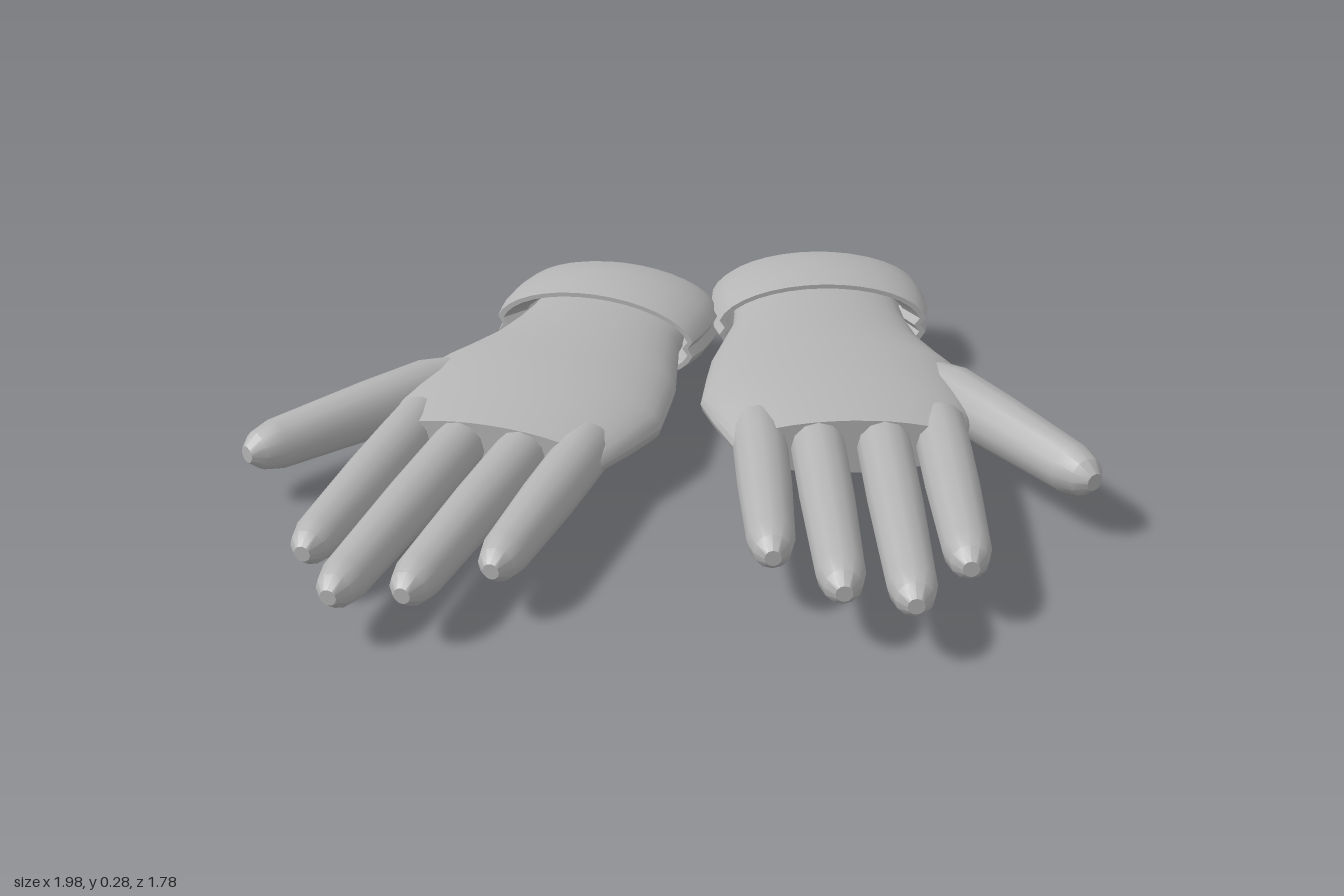
import * as THREE from 'three';
import { toCreasedNormals } from 'three/addons/utils/BufferGeometryUtils.js';

const grey = new THREE.MeshStandardMaterial({ color: 0xb4b4b4, side: THREE.DoubleSide });
grey.name = 'grey';

// Skin elliptical rings [z, xMin, xMax, halfHeight]; side mirrors x, groove dents the two side seams
function loft(rings, side, groove = 0, n = 36) {
  const pos = [], index = [];
  rings.forEach(([z, x0, x1, h], j) => {
    for (let i = 0; i < n; i++) {
      const a = (i / n) * Math.PI * 2;
      const dent = i % (n / 2) === 0 ? groove : 0;
      pos.push(side * (x0 + x1) / 2 + ((x1 - x0) / 2 - dent) * Math.cos(a), h * Math.sin(a), z);
      if (j === rings.length - 1) continue;
      const p = j * n + i, q = j * n + (i + 1) % n;
      index.push(p, q, p + n, q, q + n, p + n);
    }
  });
  const g = new THREE.BufferGeometry();
  g.setAttribute('position', new THREE.Float32BufferAttribute(pos, 3));
  g.setIndex(index);
  return toCreasedNormals(g, 0.5);
}

// Tapered finger from (x0, z0) to (x1, z1) with a blunt faceted tip
function finger(x0, z0, x1, z1, rBase, rEnd, rStart = rBase) {
  const from = new THREE.Vector3(x0, 0, z0), dir = new THREE.Vector3(x1 - x0, 0, z1 - z0);
  const len = dir.length();
  const profile = [
    [0, 0], [rStart, 0], [rBase, 0.12], [rBase * 0.97, len * 0.45], [rEnd, len - 0.08],
    [rEnd * 0.78, len - 0.03], [rEnd * 0.35, len], [0, len],
  ].map(([r, y]) => new THREE.Vector2(r, y));
  const g = toCreasedNormals(new THREE.LatheGeometry(profile, 12), 0.6);
  g.applyQuaternion(new THREE.Quaternion().setFromUnitVectors(new THREE.Vector3(0, 1, 0), dir.normalize()));
  return g.translate(from.x, from.y, from.z);
}

// One glove: side +1 has its thumb toward +x, side -1 is the mirror image
function glove(side) {
  const group = new THREE.Group();
  const add = (name, geometry) => {
    const m = new THREE.Mesh(geometry, grey);
    m.name = name;
    group.add(m);
  };

  // Padded cuff: inner sleeve, back rim, rounded outside, front lip
  add('cuff', loft([
    [0.2, -0.225, 0.208, 0.074], [0.03, -0.228, 0.223, 0.078], [0.025, -0.245, 0.24, 0.092],
    [0, -0.25, 0.245, 0.097], [0, -0.266, 0.261, 0.112], [0.04, -0.284, 0.279, 0.127],
    [0.11, -0.291, 0.287, 0.133], [0.19, -0.288, 0.285, 0.13], [0.245, -0.277, 0.273, 0.118],
    [0.245, -0.263, 0.257, 0.107], [0.17, -0.24, 0.22, 0.09],
  ], side, 0.018));

  // Flattened hand, open at the wrist and closed at the knuckles
  add('palm', loft([
    [0.1, -0.225, 0.21, 0.078], [0.25, -0.238, 0.216, 0.088], [0.39, -0.28, 0.238, 0.095],
    [0.49, -0.31, 0.275, 0.098], [0.56, -0.322, 0.304, 0.1], [0.7, -0.343, 0.304, 0.1],
    [0.8, -0.318, 0.301, 0.089], [0.94, -0.274, 0.265, 0.068], [0.94, -0.005, -0.004, 0.0005],
  ], side));

  // Fingers: root x, z, tip x, z
  const fingers = {
    indexFinger: [0.218, 0.84, 0.188, 1.51],
    middleFinger: [0.078, 0.84, 0.053, 1.655],
    ringFinger: [-0.078, 0.84, -0.088, 1.6],
    littleFinger: [-0.212, 0.84, -0.223, 1.45],
  };
  for (const [name, [x0, z0, x1, z1]] of Object.entries(fingers)) {
    add(name, finger(side * x0, z0, side * x1, z1, 0.064, 0.053));
  }
  add('thumb', finger(side * 0.22, 0.565, side * 0.527, 1.135, 0.073, 0.06, 0.05));

  group.rotation.y = side * 0.18;
  return group;
}

export function createModel() {
  const model = new THREE.Group();
  model.name = 'pairOfGloves';
  const left = glove(1);
  left.name = 'leftGlove';
  left.position.set(0.25, 0.152, -0.845);
  const right = glove(-1);
  right.name = 'rightGlove';
  right.position.set(-0.255, 0.134, -0.735);
  model.add(left, right);
  return model;
}
